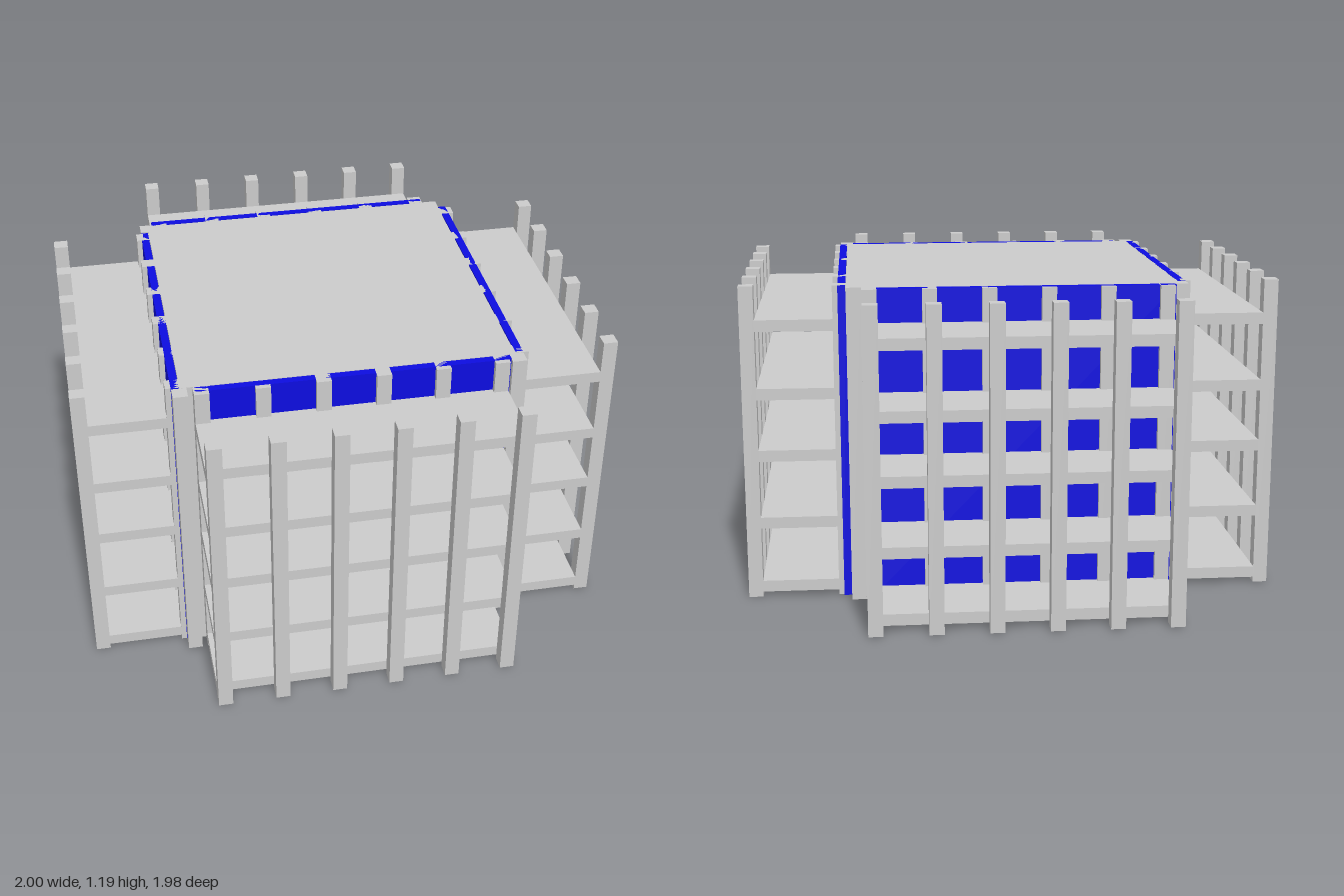
import * as THREE from 'three';

const grey = new THREE.MeshStandardMaterial({ color: 0xcccccc, flatShading: true });
const blue = new THREE.MeshStandardMaterial({ color: 0x0d0de0, flatShading: true });
const HEIGHT = 1.19;
const POST = 0.054;
const WALL = 0.055;

// Box given by its minimum and maximum on each axis
function block(parent, name, [x0, x1], [y0, y1], [z0, z1], material = grey) {
  const mesh = new THREE.Mesh(new THREE.BoxGeometry(x1 - x0, y1 - y0, z1 - z0), material);
  mesh.position.set((x0 + x1) / 2, (y0 + y1) / 2, (z0 + z1) / 2);
  mesh.name = name;
  parent.add(mesh);
}

// One facade; "along" runs parallel to the wall, "out" away from it
function facade({ name, axis, sign, start, end, inner, outer, glass }) {
  const group = new THREE.Group();
  group.name = name;
  const full = [0, HEIGHT];
  const add = (part, along, y, out, material) => {
    const o = out.map((v) => v * sign).sort((a, b) => a - b);
    if (axis === 'z') block(group, part, along, y, o, material);
    else block(group, part, o, y, along, material);
  };

  // Glass sheet in front of the wall
  add('glassPanel', glass, full, [inner + 0.005, inner + 0.034], blue);

  // Balcony slabs
  for (const y of [0.02, 0.27, 0.53, 0.765, 1.022]) {
    add('balconySlab', [start, end], [y, y + 0.043], [inner, outer - POST]);
  }

  // Inner and outer rows of posts
  const count = 6;
  for (let i = 0; i < count; i++) {
    const a = start + (i * (end - start - POST)) / (count - 1);
    add('innerPost', [a, a + POST], full, [inner, inner + POST]);
    add('outerPost', [a, a + POST], full, [outer - POST, outer]);
  }
  return group;
}

export function createModel() {
  const model = new THREE.Group();
  model.name = 'balconyBuilding';

  // Hollow core, open underneath
  const core = new THREE.Group();
  core.name = 'core';
  const x0 = -0.615, x1 = 0.608, z0 = -0.605, z1 = 0.603;
  const wallY = [0, HEIGHT - 0.05];
  block(core, 'roof', [x0, x1], [HEIGHT - 0.05, HEIGHT], [z0, z1]);
  block(core, 'backWall', [x0, x1], wallY, [z0, z0 + WALL]);
  block(core, 'frontWall', [x0, x1], wallY, [z1 - WALL, z1]);
  block(core, 'leftWall', [x1 - WALL, x1], wallY, [z0 + WALL, z1 - WALL]);
  block(core, 'rightWall', [x0, x0 + WALL], wallY, [z0 + WALL, z1 - WALL]);
  model.add(core);

  // Four facades, each shifted slightly along its wall
  const sides = [
    { name: 'frontFacade', axis: 'z', sign: 1, start: -0.57, end: 0.575, inner: 0.601, outer: 0.985, glass: [-0.565, 0.585] },
    { name: 'backFacade', axis: 'z', sign: -1, start: -0.588, end: 0.553, inner: 0.606, outer: 0.995, glass: [-0.595, 0.55] },
    { name: 'leftFacade', axis: 'x', sign: 1, start: -0.546, end: 0.598, inner: 0.606, outer: 1, glass: [-0.555, 0.59] },
    { name: 'rightFacade', axis: 'x', sign: -1, start: -0.546, end: 0.598, inner: 0.612, outer: 1, glass: [-0.55, 0.6] },
  ];
  for (const side of sides) model.add(facade(side));

  // Corner posts
  const corners = [[-0.645, 0.604], [0.584, 0.6], [-0.645, -0.615], [0.556, -0.607]];
  for (const [x, z] of corners) {
    block(model, 'cornerPost', [x, x + POST], [0, HEIGHT], [z, z + POST]);
  }
  return model;
}
